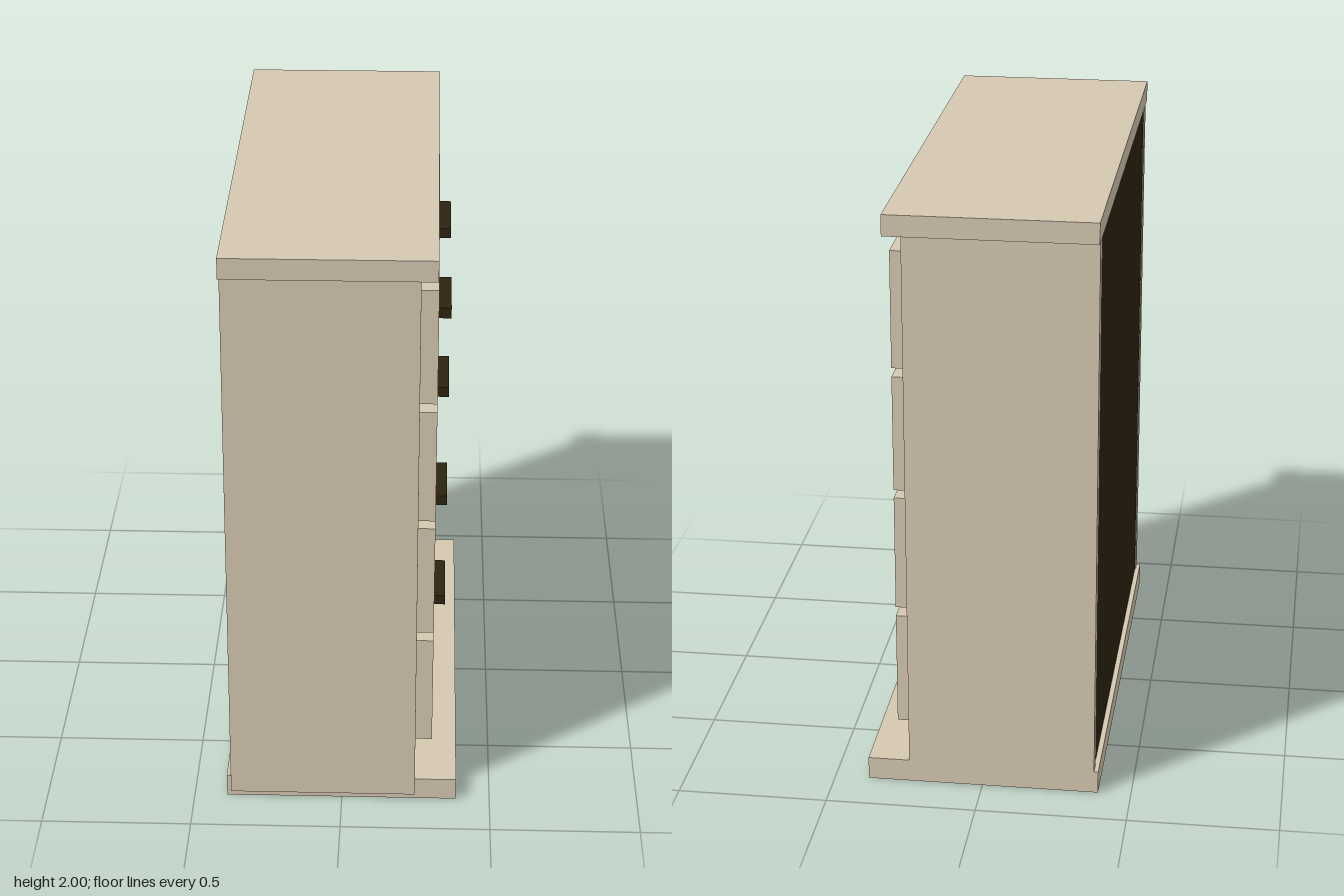
import * as THREE from 'three';

const wood = new THREE.MeshStandardMaterial({ name: 'paleWood', color: 0xd6c8b1 });
const dark = new THREE.MeshStandardMaterial({ name: 'darkWood', color: 0x2e2310 });

// Box given by its extents along each axis
function slab(name, material, [x0, x1], [y0, y1], [z0, z1]) {
  const mesh = new THREE.Mesh(new THREE.BoxGeometry(x1 - x0, y1 - y0, z1 - z0), material);
  mesh.position.set((x0 + x1) / 2, (y0 + y1) / 2, (z0 + z1) / 2);
  mesh.name = name;
  return mesh;
}

// Drawer front with its bar handle; the drawers open towards +x
function drawer(name, y, z, handleZ) {
  const group = new THREE.Group();
  group.name = name;
  const handleY = (y[0] + y[1]) / 2 - 0.04 + (y[0] < 0.3 || y[0] > 1.4 ? 0.035 : 0.015);
  group.add(
    slab('drawerFront', wood, [0.24, 0.303], y, z),
    slab('handle', dark, [0.3, 0.345], [handleY - 0.018, handleY + 0.018], [handleZ - 0.127, handleZ + 0.127])
  );
  return group;
}

export function createModel() {
  const chest = new THREE.Group();
  chest.name = 'chestOfDrawers';

  // Carcass: plinth, dark body, side panels and overhanging top
  chest.add(
    slab('plinth', wood, [-0.39, 0.386], [0, 0.077], [-0.832, 0.825]),
    slab('body', dark, [-0.373, 0.243], [0.03, 1.95], [-0.781, 0.781]),
    slab('topBoard', wood, [-0.378, 0.3], [1.93, 2], [-0.878, 0.875])
  );
  for (const side of [-1, 1]) {
    const z = [0.779 * side, 0.834 * side].sort((a, b) => a - b);
    chest.add(slab(side > 0 ? 'leftPanel' : 'rightPanel', wood, [-0.376, 0.247], [0.02, 1.95], z));
  }

  // Three wide drawers, then a pair of small ones on top
  [[0.17, 0.56], [0.592, 0.987], [1.015, 1.41]].forEach((y, i) =>
    chest.add(drawer('wideDrawer' + (i + 1), y, [-0.725, 0.72], -0.013)));
  chest.add(
    drawer('smallDrawerFrontSide', [1.44, 1.835], [0.008, 0.72], 0.315),
    drawer('smallDrawerBackSide', [1.44, 1.835], [-0.725, -0.019], -0.36)
  );
  return chest;
}
